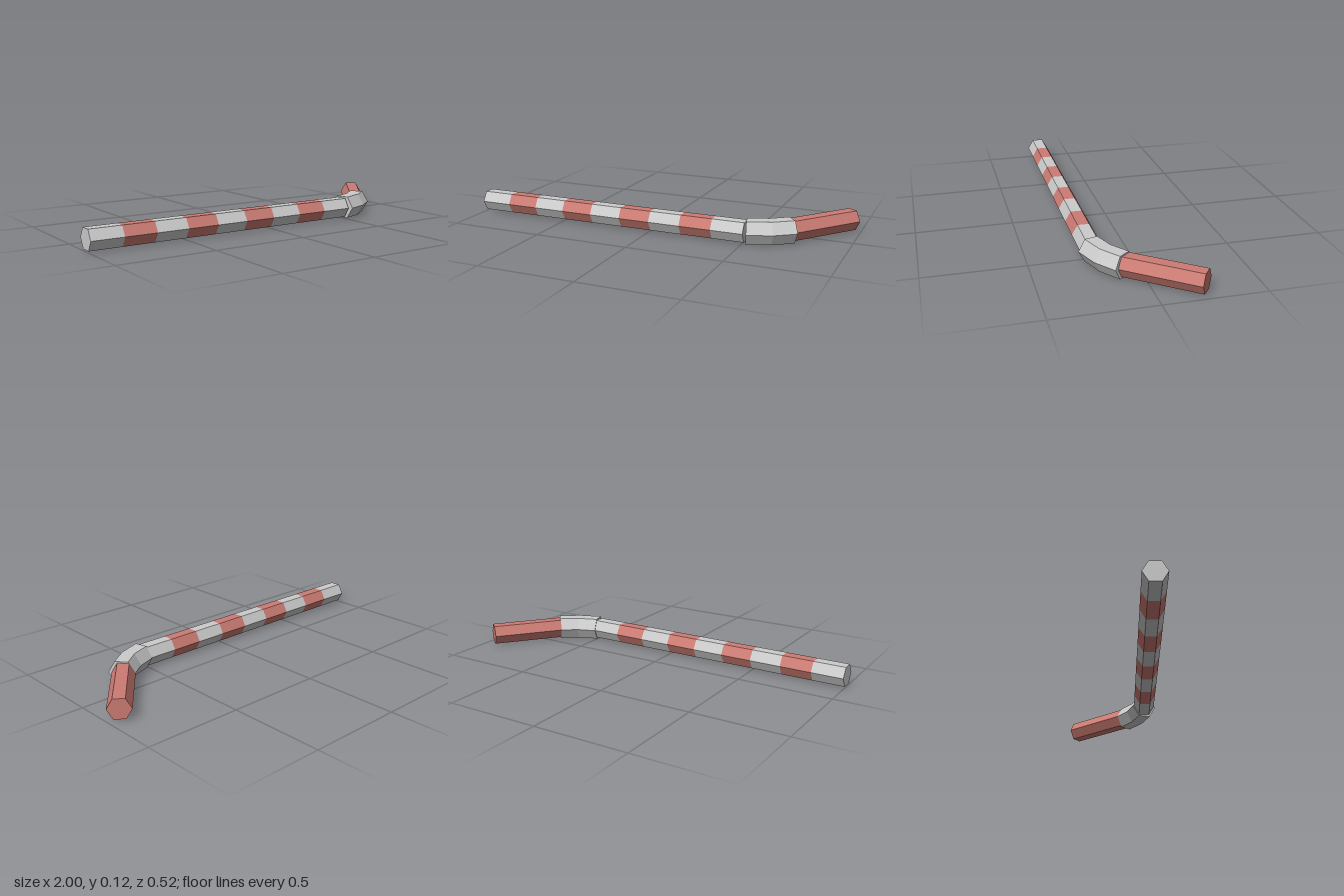
import * as THREE from 'three';

const CENTRE_Y = 0.0585;
const BAR_R = 0.0587;
const ELBOW_R = 0.0675;
const grey = new THREE.MeshStandardMaterial({ color: 0xcccccc, flatShading: true });
const red = new THREE.MeshStandardMaterial({ color: 0xcc7c74, flatShading: true });

// Corners of a hexagonal section at [x, z], heading turned by deg from +x towards -z
function hexRing([x, z, deg], radius) {
  const a = THREE.MathUtils.degToRad(deg);
  return Array.from({ length: 6 }, (_, i) => {
    const side = radius * Math.cos(i * Math.PI / 3);
    return new THREE.Vector3(
      x + side * Math.sin(a),
      CENTRE_Y + radius * Math.sin(i * Math.PI / 3),
      z + side * Math.cos(a));
  });
}

// Hexagonal bar through a list of sections, with optional end caps
function hexBar(name, sections, radius, material, capStart = true, capEnd = true) {
  const rings = sections.map(s => hexRing(s, radius));
  const points = [];
  for (let k = 0; k < rings.length - 1; k++) {
    const a = rings[k], b = rings[k + 1];
    for (let i = 0; i < 6; i++) {
      const j = (i + 1) % 6;
      points.push(a[i], b[i], b[j], a[i], b[j], a[j]);
    }
  }
  const first = rings[0], last = rings[rings.length - 1];
  for (let i = 1; i < 5; i++) {
    if (capStart) points.push(first[0], first[i], first[i + 1]);
    if (capEnd) points.push(last[0], last[i + 1], last[i]);
  }
  const geometry = new THREE.BufferGeometry().setFromPoints(points);
  geometry.computeVertexNormals();
  const mesh = new THREE.Mesh(geometry, material);
  mesh.name = name;
  return mesh;
}

export function createModel() {
  const model = new THREE.Group();
  model.name = 'stripedCane';

  // Long straight shaft: nine alternating stripes
  const shaft = new THREE.Group();
  shaft.name = 'shaft';
  const count = 9, x0 = -1, step = 1.51 / count, z = 0.195;
  for (let i = 0; i < count; i++) {
    const odd = i % 2 === 1;
    shaft.add(hexBar(odd ? 'redStripe' : 'greyStripe',
      [[x0 + i * step, z, 0], [x0 + (i + 1) * step, z, 0]],
      BAR_R, odd ? red : grey, i === 0, i === count - 1));
  }
  model.add(shaft);

  // Slightly thicker bent elbow
  model.add(hexBar('elbow',
    [[0.513, 0.197, 15], [0.623, 0.156, 28], [0.714, 0.088, 39]], ELBOW_R, grey));

  // Angled end piece
  model.add(hexBar('handle', [[0.702, 0.089, 52], [0.949, -0.224, 52]], BAR_R, red));

  return model;
}
